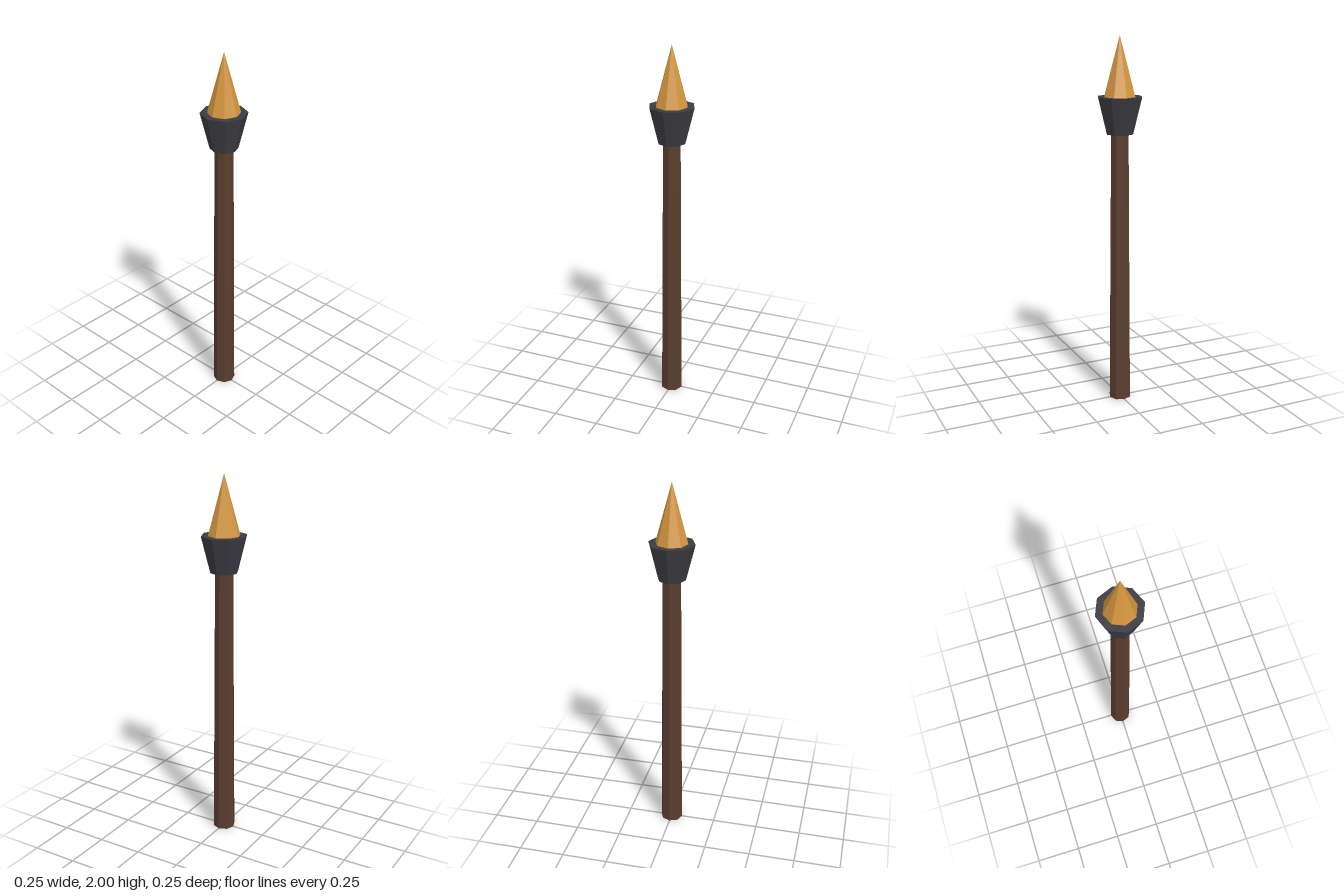
import * as THREE from 'three';

const SIDES = 8;

function flatMaterial(name, color) {
  const material = new THREE.MeshStandardMaterial({ color, flatShading: true });
  material.name = name;
  return material;
}

// Eight-sided tapered section standing between two heights
function section(name, topRadius, bottomRadius, y0, y1, material) {
  const geometry = new THREE.CylinderGeometry(topRadius, bottomRadius, y1 - y0, SIDES);
  const mesh = new THREE.Mesh(geometry, material);
  mesh.name = name;
  mesh.position.y = (y0 + y1) / 2;
  return mesh;
}

export function createModel() {
  const wood = flatMaterial('dark wood', 0x5a3d2e);
  const iron = flatMaterial('dark iron', 0x3c3b42);
  const gold = flatMaterial('amber', 0xd4963f);

  const model = new THREE.Group();
  model.name = 'torch';

  // Handle, slightly narrower towards the top
  model.add(section('handle', 0.049, 0.061, 0, 1.49, wood));

  // Flared collar holding the tip
  model.add(section('collar', 0.123, 0.074, 1.49, 1.685, iron));

  // Pointed flame
  const flame = new THREE.Mesh(new THREE.ConeGeometry(0.086, 0.315, SIDES, 1, true), gold);
  flame.name = 'flame';
  flame.position.y = 1.685 + 0.315 / 2;
  model.add(flame);

  return model;
}
